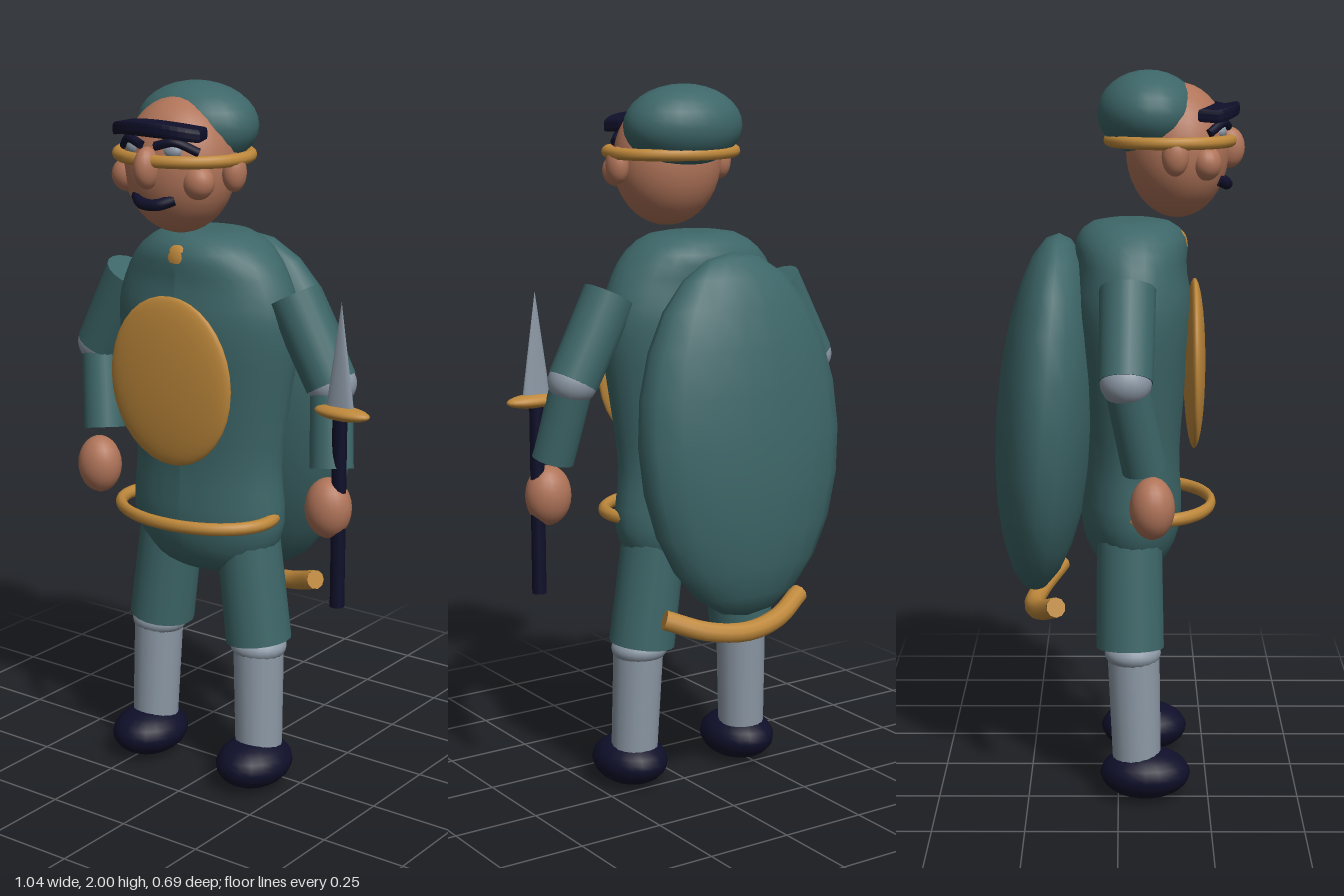
import * as THREE from 'three';

const V = (x, y, z) => new THREE.Vector3(x, y, z);
const material = (name, color) => {
  const m = new THREE.MeshStandardMaterial({ color });
  m.name = name;
  return m;
};

export function createModel() {
  const teal = material('teal cloth', 0x3d6668);
  const steel = material('steel grey', 0x8c98a5);
  const gold = material('gold', 0xbe883b);
  const skin = material('skin', 0xb07459);
  const navy = material('dark navy', 0x0f0f2a);

  const model = new THREE.Group();
  model.name = 'guard';
  // The figure's own middle lies slightly to one side because of the sword
  const figure = new THREE.Group();
  figure.name = 'figure';
  figure.position.x = -0.05;
  model.add(figure);

  const add = (name, geometry, mat, x = 0, y = 0, z = 0) => {
    const mesh = new THREE.Mesh(geometry, mat);
    mesh.name = name;
    mesh.position.set(x, y, z);
    figure.add(mesh);
    return mesh;
  };
  const ball = (name, mat, [x, y, z], [rx, ry, rz], ws = 20, hs = 14) =>
    add(name, new THREE.SphereGeometry(1, ws, hs).scale(rx, ry, rz), mat, x, y, z);
  // Cylinder running from point a to point b
  const limb = (name, mat, a, b, ra, rb) => {
    const mesh = add(name, new THREE.CylinderGeometry(rb, ra, a.distanceTo(b), 18), mat);
    mesh.position.copy(a).lerp(b, 0.5);
    mesh.quaternion.setFromUnitVectors(V(0, 1, 0), b.clone().sub(a).normalize());
    return mesh;
  };
  const rope = (name, mat, points, r) => {
    const curve = new THREE.CatmullRomCurve3(points);
    add(name, new THREE.TubeGeometry(curve, 16, r, 10), mat);
    // Close both ends
    for (const t of [0, 1]) {
      const cap = add(name + 'End', new THREE.CircleGeometry(r, 10), mat);
      cap.position.copy(curve.getPointAt(t));
      cap.quaternion.setFromUnitVectors(V(0, 0, 1), curve.getTangentAt(t).multiplyScalar(t ? 1 : -1));
    }
  };
  const ring = (name, y, z, rx, rz, tube) =>
    add(name, new THREE.TorusGeometry(1, tube / rx, 10, 40).rotateX(Math.PI / 2)
      .scale(rx, rx, rz), gold, 0, y, z);

  // Torso: a turned profile flattened front to back, squarer at the shoulders
  const profile = new THREE.SplineCurve([
    [0, 0.62], [0.12, 0.63], [0.2, 0.68], [0.245, 0.78], [0.235, 0.95], [0.262, 1.15],
    [0.285, 1.3], [0.28, 1.41], [0.225, 1.52], [0.13, 1.59], [0, 1.597],
  ].map(([r, y]) => new THREE.Vector2(r, y))).getPoints(30);
  profile[0].x = profile[30].x = 0;
  const torso = new THREE.LatheGeometry(profile, 28);
  const p = torso.attributes.position;
  for (let i = 0; i < p.count; i++) {
    const top = THREE.MathUtils.smoothstep(p.getY(i), 1.45, 1.6);
    p.setZ(i, p.getZ(i) * (0.575 + 0.25 * top));
  }
  torso.computeVertexNormals();
  add('torso', torso, teal, 0, 0, 0.035);

  ball('bellyPlate', gold, [0, 1.197, 0.21], [0.205, 0.237, 0.03], 32, 18);
  ball('collarButton', gold, [0, 1.525, 0.16], [0.05, 0.047, 0.03]);
  ring('belt', 0.805, 0.09, 0.24, 0.17, 0.018);

  // Back shell and the bar hanging below it
  const shell = ball('backShell', teal, [0, 1.055, -0.2], [0.322, 0.505, 0.14], 18, 12);
  shell.rotation.x = 0.075;
  rope('backBar', gold, [V(-0.23, 0.56, -0.17), V(-0.12, 0.52, -0.22), V(0, 0.505, -0.24),
    V(0.12, 0.52, -0.22), V(0.23, 0.56, -0.17)], 0.028);

  // Legs
  for (const s of [-1, 1]) {
    const side = s > 0 ? 'left' : 'right';
    limb(side + 'Thigh', teal, V(s * 0.128, 0.78, 0.03), V(s * 0.174, 0.43, 0.033), 0.09, 0.094);
    ball(side + 'Knee', steel, [s * 0.178, 0.415, 0.04], [0.082, 0.045, 0.078]);
    limb(side + 'Shin', steel, V(s * 0.18, 0.41, 0.042), V(s * 0.189, 0.1, 0.052), 0.072, 0.067);
    ball(side + 'Shoe', navy, [s * 0.19, 0.072, 0.075], [0.103, 0.07, 0.125]);
  }

  // Arms: the left forearm swings outward to hold the sword
  for (const [s, wristX, wristY] of [[-1, 0.352, 0.975], [1, 0.438, 0.995]]) {
    const side = s > 0 ? 'left' : 'right';
    const elbow = V(s * 0.4, 1.215, 0.02);
    limb(side + 'UpperArm', teal, V(s * 0.278, 1.44, 0.025), elbow, 0.075, 0.071);
    ball(side + 'Elbow', steel, elbow.toArray(), [0.07, 0.064, 0.068]);
    limb(side + 'Forearm', teal, elbow, V(s * wristX, wristY, 0.07), 0.058, 0.06);
    ball(side + 'Hand', skin, [s * (wristX + 0.004), wristY - 0.105, 0.09], [0.066, 0.084, 0.06]);
  }

  // Sword
  const swordX = 0.475, swordZ = 0.09;
  add('swordHandle', new THREE.CylinderGeometry(0.02, 0.02, 0.54, 14), navy, swordX, 0.885, swordZ);
  ball('swordGuard', gold, [swordX + 0.006, 1.16, swordZ], [0.085, 0.02, 0.035]);
  add('swordBlade', new THREE.ConeGeometry(1, 0.3, 16).scale(0.045, 1, 0.014), steel, swordX, 1.31, swordZ);

  // Head and cap
  ball('head', skin, [0, 1.785, 0.16], [0.158, 0.182, 0.14], 28, 20);
  ball('cap', teal, [0, 1.885, 0.08], [0.177, 0.115, 0.138], 24, 16);
  ring('headband', 1.812, 0.14, 0.184, 0.166, 0.017);
  for (const s of [-1, 1]) {
    const side = s > 0 ? 'left' : 'right';
    ball(side + 'Ear', skin, [s * 0.172, 1.778, 0.15], [0.032, 0.052, 0.036]);
    ball(side + 'Cheek', skin, [s * 0.118, 1.757, 0.235], [0.045, 0.046, 0.04]);
    ball(side + 'Eye', steel, [s * 0.06, 1.838, 0.27], [0.03, 0.022, 0.02]);
    rope(side + 'Brow', navy, [V(s * 0.125, 1.835, 0.24), V(s * 0.075, 1.862, 0.28),
      V(s * 0.022, 1.85, 0.295)], 0.012);
  }
  ball('nose', skin, [0, 1.792, 0.3], [0.033, 0.056, 0.043]);
  rope('moustache', navy, [V(-0.062, 1.71, 0.265), V(-0.03, 1.697, 0.29), V(0, 1.694, 0.295),
    V(0.03, 1.697, 0.29), V(0.062, 1.71, 0.265)], 0.016);

  // Peak of the cap: a crescent plate
  const crescent = new THREE.Shape();
  crescent.moveTo(-0.13, 0.21);
  crescent.lineTo(-0.145, 0.262);
  crescent.bezierCurveTo(-0.09, 0.35, 0.09, 0.35, 0.145, 0.262);
  crescent.lineTo(0.13, 0.21);
  crescent.quadraticCurveTo(0, 0.31, -0.13, 0.21);
  const peak = new THREE.ExtrudeGeometry(crescent, {
    depth: 0.014, bevelThickness: 0.01, bevelSize: 0.006, bevelOffset: -0.006, bevelSegments: 2, curveSegments: 16,
  }).rotateX(Math.PI / 2);
  // Arch the plate so its middle stands higher than its ends
  const q = peak.attributes.position;
  for (let i = 0; i < q.count; i++) q.setY(i, q.getY(i) - 0.9 * q.getX(i) ** 2);
  peak.computeVertexNormals();
  add('capPeak', peak, navy, 0, 1.905, 0);

  return model;
}
